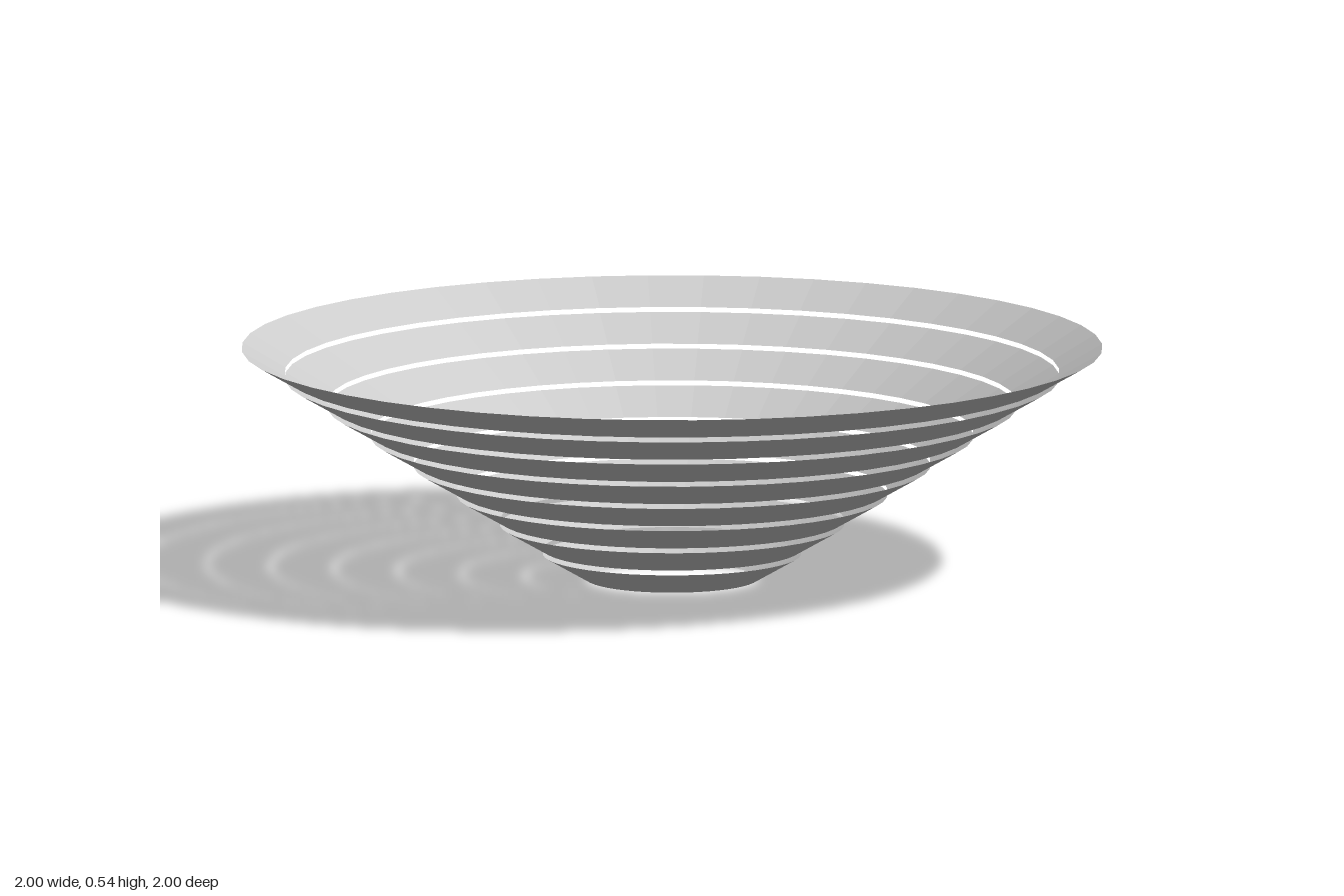
import * as THREE from 'three';

const RINGS = 8;
const SIDES = 48;
const STEP = 0.1;                                   // radial width of one ring
const RISE = STEP * Math.tan(Math.PI / 6);          // each ring slopes at 30 degrees
const PITCH = RISE * 1.2;                           // ring height plus the open gap

export function createModel() {
  const model = new THREE.Group();
  model.name = 'slottedCone';
  const material = new THREE.MeshStandardMaterial({
    color: 0xcccccc, flatShading: true, side: THREE.DoubleSide,
  });

  // Thin conical rings, each starting at the radius where the one below ends
  for (let i = 0; i < RINGS; i++) {
    const inner = 0.2 + i * STEP;
    const profile = [
      new THREE.Vector2(inner, 0),
      new THREE.Vector2(inner + STEP, RISE),
    ];
    const ring = new THREE.Mesh(new THREE.LatheGeometry(profile, SIDES), material);
    ring.name = `coneRing${i + 1}`;
    ring.position.y = i * PITCH;
    model.add(ring);
  }
  return model;
}
